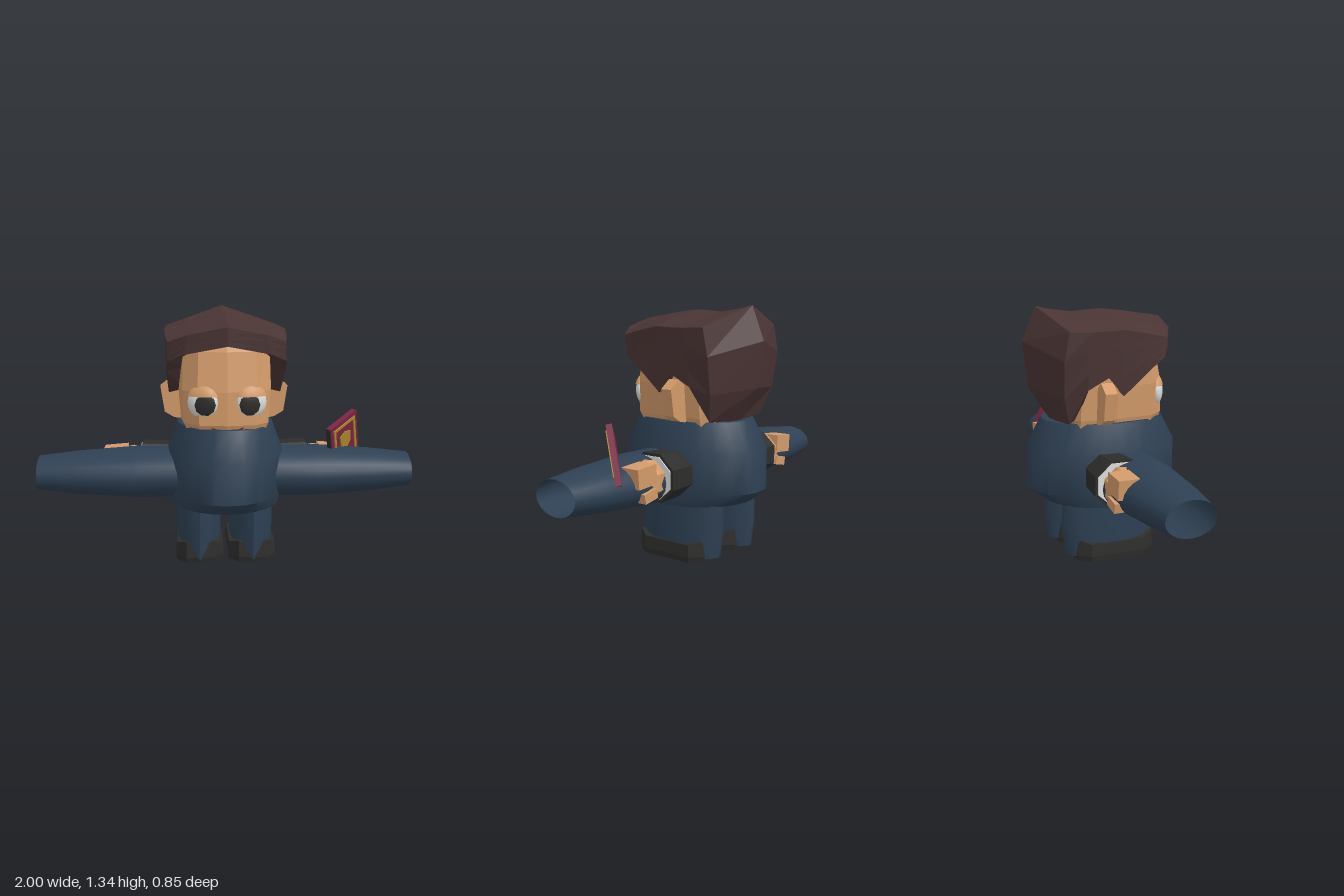
import * as THREE from 'three';
import { toCreasedNormals } from 'three/addons/utils/BufferGeometryUtils.js';

const mat = (name, color, side = THREE.FrontSide) => {
  const m = new THREE.MeshStandardMaterial({ color, side });
  m.name = name;
  return m;
};

// Skin over stacked rings of [x, y, z], each ring running front -> +x -> back -> -x, bottom to top
function loft(rings, caps = true) {
  const n = rings[0].length, pos = [];
  const tri = (...p) => p.forEach(q => pos.push(...q));
  for (let i = 0; i < rings.length - 1; i++) {
    for (let j = 0; j < n; j++) {
      const k = (j + 1) % n;
      const a = rings[i][j], b = rings[i][k], c = rings[i + 1][k], d = rings[i + 1][j];
      tri(a, b, c);
      tri(a, c, d);
    }
  }
  if (caps) {
    [rings[0], rings[rings.length - 1]].forEach((r, top) => {
      const mid = [0, 1, 2].map(c => r.reduce((s, p) => s + p[c], 0) / n);
      r.forEach((p, j) => (top ? tri(mid, p, r[(j + 1) % n]) : tri(mid, r[(j + 1) % n], p)));
    });
  }
  const g = new THREE.BufferGeometry();
  g.setAttribute('position', new THREE.Float32BufferAttribute(pos, 3));
  g.computeVertexNormals();
  return g;
}

// Rows of [y, radius x, radius z] become elliptical rings
const oval = (rows, n, cx = 0, cz = 0, phase = 0) => rows.map(([y, rx, rz]) =>
  Array.from({ length: n }, (_, j) => {
    const a = (j + phase) / n * Math.PI * 2;
    return [cx + Math.sin(a) * rx, y, cz + Math.cos(a) * rz];
  }));
const smooth = g => toCreasedNormals(g, 0.8);

// Right half outline (front to back centre) completed by its mirror image
const symmetric = half => [...half, ...half.slice(1, -1).reverse().map(([x, y, z]) => [-x, y, z])];

function extrude(points, depth, hole) {
  const s = new THREE.Shape(points.map(p => new THREE.Vector2(...p)));
  if (hole) s.holes.push(new THREE.Path(hole.map(p => new THREE.Vector2(...p))));
  return new THREE.ExtrudeGeometry(s, { depth, bevelEnabled: false });
}

function mirrored(geometry) {
  const g = geometry.index ? geometry.toNonIndexed() : geometry.clone();
  g.scale(-1, 1, 1);
  for (const a of Object.values(g.attributes)) {
    const s = a.itemSize;
    for (let i = 0; i < a.array.length; i += 3 * s) {
      const second = a.array.slice(i + s, i + 2 * s);
      a.array.copyWithin(i + s, i + 2 * s, i + 3 * s);
      a.array.set(second, i + 2 * s);
    }
  }
  return g;
}

export function createModel() {
  const root = new THREE.Group();
  root.name = 'figure';
  const skin = mat('skin', 0xd29a69);
  const hairBrown = mat('hairBrown', 0x4a3434, THREE.DoubleSide);
  const navy = mat('navyCloth', 0x2e4053);
  const sleeveNavy = navy;
  navy.side = THREE.DoubleSide;
  const dark = mat('darkGrey', 0x2d2d2c);
  const white = mat('white', 0xdcdcda);
  const maroon = mat('maroon', 0x7c2442);
  const gold = mat('gold', 0xad8a2c);

  const add = (name, geometry, material, parent = root) => {
    const m = new THREE.Mesh(geometry, material);
    m.name = name;
    parent.add(m);
    return m;
  };
  const pair = (name, geometry, material) => {
    add('left' + name, geometry, material);
    add('right' + name, mirrored(geometry), material);
  };

  // Torso, belt, legs and shoes
  add('torso', smooth(loft(oval([[0.3, 0.295, 0.33], [0.37, 0.31, 0.415], [0.59, 0.31, 0.415], [0.74, 0.255, 0.335]], 24))), navy);
  add('belt', new THREE.BoxGeometry(0.08, 0.04, 0.3).translate(0, 0.29, 0), dark);
  pair('Leg', smooth(loft(oval([[0.02, 0.112, 0.245], [0.18, 0.12, 0.265], [0.34, 0.12, 0.26]], 16, 0.142, -0.018))), navy);
  const sole = [[0, 0.225], [0.075, 0.22], [0.128, 0.15], [0.128, -0.16], [0.075, -0.22], [0, -0.225]];
  const shoeRing = (y, s, lift) => symmetric(sole.map(([x, z], i) => [x * s, y + (i === 1 || i === 4 ? lift : 0), z * s]));
  pair('Shoe', loft([shoeRing(0, 0.97, 0), shoeRing(0.03, 1, 0), shoeRing(0.095, 0.97, 0.022)]).translate(0.14, 0, 0), dark);

  // Wide open sleeves
  const sleeve = loft(oval([[0.25, 0.135, 0.203], [0.48, 0.135, 0.203], [0.8, 0.113, 0.168], [1, 0.09, 0.133]], 24), false);
  pair('Sleeve', smooth(sleeve).rotateZ(-Math.PI / 2).translate(0, 0.461, 0.027), sleeveNavy);

  // Cuffs and hands, lying along x behind the sleeves
  const armPart = (rows, n, y, z) => loft(oval(rows, n, 0, 0, 0.5)).rotateZ(-Math.PI / 2).translate(0, y, z);
  pair('Cuff', armPart([[0.25, 0.12, 0.125], [0.32, 0.128, 0.138], [0.45, 0.134, 0.15]], 8, 0.48, -0.075), dark);
  pair('CuffTrim', armPart([[0.44, 0.118, 0.134], [0.456, 0.118, 0.134]], 8, 0.48, -0.075), white);
  pair('Palm', armPart([[0.44, 0.1, 0.11], [0.5, 0.112, 0.125], [0.57, 0.095, 0.11]], 8, 0.475, -0.062), skin);
  pair('Fingers', new THREE.BoxGeometry(0.13, 0.1, 0.13).rotateZ(-0.08).translate(0.595, 0.52, -0.115), skin);
  pair('Thumb', new THREE.BoxGeometry(0.09, 0.05, 0.06).rotateZ(-0.2).translate(0.57, 0.42, -0.15), skin);

  // Head with a faint centre ridge
  const headRow = (y, w, f, b) => symmetric([[0, y, f], [0.15 * w, y, f - 0.02], [0.228 * w, y, f - 0.1],
    [0.25 * w, y, 0], [0.235 * w, y, -0.2], [0.12 * w, y, b]]
    .concat([[0, y, b - 0.01]]));
  add('head', loft([headRow(0.7, 0.88, 0.285, -0.24), headRow(0.76, 0.95, 0.308, -0.27),
    headRow(0.93, 1, 0.302, -0.3), headRow(1.13, 0.98, 0.265, -0.28), headRow(1.19, 0.9, 0.24, -0.25)]), skin);
  pair('Ear', extrude([[0.2, 0.73], [0.275, 0.745], [0.325, 0.775], [0.347, 0.915], [0.285, 0.962], [0.2, 0.9]], 0.065).translate(0, 0, -0.115), skin);

  // Eyes: ball, pupil cap and a heavy upper lid
  const place = g => g.scale(1, 1, 0.5).rotateY(0.3).translate(0.122, 0.875, 0.264);
  pair('Eye', place(new THREE.SphereGeometry(0.083, 20, 14)), white);
  pair('Pupil', place(new THREE.SphereGeometry(0.0855, 10, 4, 0, Math.PI * 2, 0, 0.72).rotateX(Math.PI / 2 + 0.14).rotateY(-0.3)), dark);
  pair('Eyelid', place(new THREE.SphereGeometry(0.091, 16, 6, 0, Math.PI * 2, 0, 1.2)), skin);

  // Mouth, each half lying on its side of the ridge
  const smile = extrude([[0, 0.7], [0.05, 0.715], [0.085, 0.752], [0.045, 0.737], [0, 0.73]], 0.009);
  const sp = smile.attributes.position;
  for (let i = 0; i < sp.count; i++) {
    sp.setZ(i, sp.getZ(i) + 0.3 - sp.getX(i) * 0.13 + (sp.getY(i) - 0.74) * 0.35);
  }
  smile.computeVertexNormals();
  pair('Smile', smile, maroon);

  // Hair columns from fringe to nape: roof edge, lower edge, ridge height, outward bulge
  const columns = [
    [[0, 1.26, 0.34], [0, 1.165, 0.34], 1.26, 0],
    [[0.2, 1.22, 0.3], [0.22, 1.12, 0.29], 1.268, 0],
    [[0.3, 1.18, 0.245], [0.305, 1.08, 0.23], 1.276, 0],
    [[0.315, 1.205, 0.13], [0.31, 1.02, 0.15], 1.295, 0],
    [[0.322, 1.23, 0], [0.3, 0.89, 0.005], 1.31, 0],
    [[0.322, 1.226, -0.08], [0.305, 0.99, -0.08], 1.307, 0],
    [[0.32, 1.225, -0.17], [0.295, 0.93, -0.19], 1.3, 0],
    [[0.312, 1.23, -0.29], [0.225, 0.75, -0.265], 1.318, 0.035],
    [[0, 1.335, -0.365], [0, 0.735, -0.29], 1.335, 0.095],
  ];
  const lerp = (a, b, t) => a.map((v, i) => v + (b[i] - v) * t);
  const side = t => ([e, b, , bulge]) => {
    const p = lerp(b, e, t);
    return [p[0] + (p[0] ? bulge * 0.7 : 0), p[1], p[2] - bulge];
  };
  const hairRows = [
    ([, b]) => [b[0] * 0.72, b[1] + 0.02, b[2] * 0.72],
    ([, b]) => b,
    side(0.3),
    side(0.7),
    ([e]) => e,
    ([e, , r]) => [e[0] * 0.6, e[1] + (r - e[1]) * 0.5, e[2]],
    ([e, , r]) => [0, r, e[2]],
  ];
  add('hair', loft(hairRows.map(f => symmetric(columns.map(f))), false), hairBrown);

  // Book held at the left hand
  const book = new THREE.Group();
  book.name = 'book';
  const across = new THREE.Vector3(0.17, 0.085, -0.15).normalize();
  const up = new THREE.Vector3(-0.055, 0.275, 0.115).normalize();
  const out = across.clone().cross(up).normalize();
  up.copy(out).cross(across);
  book.applyMatrix4(new THREE.Matrix4().makeBasis(across, up, out));
  book.position.set(0.667, 0.598, -0.012);
  root.add(book);
  const rect = (w, h) => [[-w, -h], [w, -h], [w, h], [-w, h]];
  add('bookCover', new THREE.BoxGeometry(0.236, 0.3, 0.03).translate(0, 0, -0.015), maroon, book);
  add('bookSpine', new THREE.BoxGeometry(0.008, 0.296, 0.026).translate(-0.121, 0, -0.015), dark, book);
  add('bookBorder', extrude(rect(0.095, 0.127), 0.006, rect(0.08, 0.112)), gold, book);
  add('bookShield', extrude([[0, -0.035], [0.042, 0], [0.045, 0.06], [0, 0.075], [-0.045, 0.06], [-0.042, 0]], 0.006), gold, book);
  add('bookClasp', new THREE.BoxGeometry(0.085, 0.022, 0.006).translate(0, -0.07, 0.003), white, book);

  return root;
}
